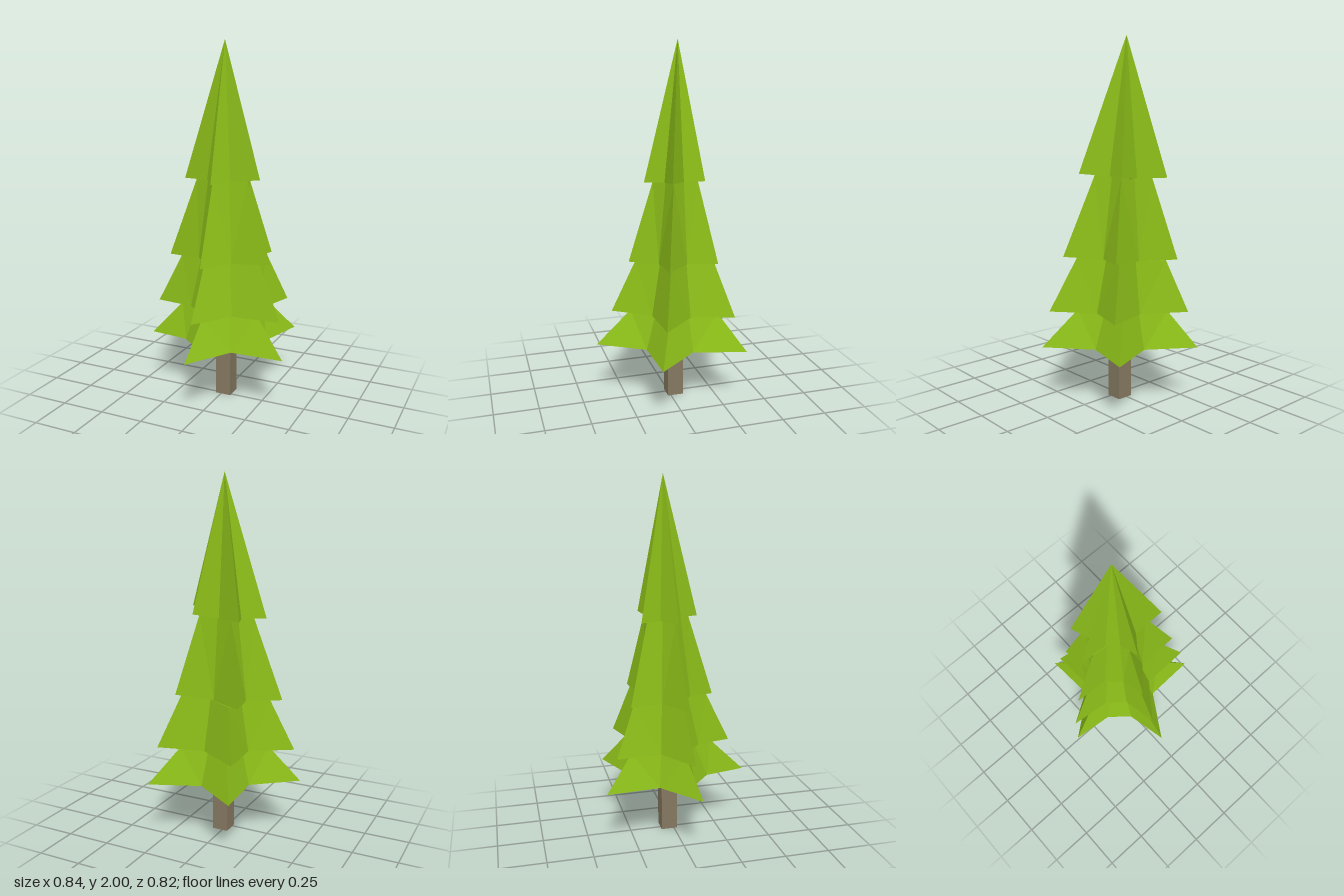
import * as THREE from 'three';

// Axis of the crown, where the tip of the tree sits
const AX = -0.01, AZ = -0.055, TOP = 2;

// Star outlines (x, z) of each tier's rim, clockwise from the back left point.
// tip / notch: how far points and notches shrink towards the axis at the tier's top.
const TIERS = [
  { y: 0.33, tilt: 0, tip: 0.58, notch: 0.71, rim: [
    [-0.21, -0.415], [0.035, -0.25], [0.31, -0.36], [0.23, -0.075], [0.42, 0.15], [0.125, 0.16],
    [-0.03, 0.41], [-0.08, 0.18], [-0.19, 0.085], [-0.42, 0.06], [-0.19, -0.12]] },
  { y: 0.52, tilt: 0.03, tip: 0.64, notch: 0.69, rim: [
    [-0.195, -0.355], [0.035, -0.215], [0.285, -0.295], [0.21, -0.065], [0.39, 0.12], [0.115, 0.125],
    [-0.035, 0.32], [-0.075, 0.13], [-0.175, 0.05], [-0.395, 0.025], [-0.18, -0.11]] },
  { y: 0.8, tilt: 0.09, tip: 0.5, notch: 0.63, rim: [
    [-0.19, -0.275], [0, -0.17], [0.21, -0.22], [0.16, -0.06], [0.32, 0.085], [0.09, 0.08],
    [-0.03, 0.22], [-0.06, 0.085], [-0.14, 0.015], [-0.33, 0], [-0.16, -0.1]] },
  { y: 1.245, tilt: 0.12, tip: 0, notch: 0, rim: [
    [-0.17, -0.21], [-0.015, -0.135], [0.125, -0.17], [0.11, -0.055], [0.24, 0.045], [0.065, 0.04],
    [-0.007, 0.135], [-0.04, 0.035], [-0.1, -0.015], [-0.245, -0.03], [-0.13, -0.1]] },
];
const POINTS = [0, 2, 4, 6, 9]; // indices of the star points in each rim

// Stack of loops from the underside centre to the tree tip
function crownLoops() {
  const loops = [TIERS[0].rim.map(() => [AX, TIERS[0].y, AZ])];
  TIERS.forEach((t, k) => {
    const next = TIERS[k + 1];
    loops.push(t.rim.map(([x, z]) => [x, t.y + t.tilt * Math.max(0, x), z]));
    loops.push(t.rim.map(([x, z], i) => {
      const s = POINTS.includes(i) ? t.tip : t.notch;
      const px = AX + (x - AX) * s, pz = AZ + (z - AZ) * s;
      return [px, next ? next.y + next.tilt * Math.max(0, px) : TOP, pz];
    }));
  });
  return loops;
}

// Skin the loops with flat facets, skipping triangles that collapse at the ends
function skin(loops) {
  const pos = [];
  const same = (p, q) => p.every((v, i) => Math.abs(v - q[i]) < 1e-6);
  const tri = (a, b, c) => {
    if (!same(a, b) && !same(b, c) && !same(a, c)) pos.push(...a, ...b, ...c);
  };
  for (let k = 0; k < loops.length - 1; k++) {
    const lo = loops[k], hi = loops[k + 1], n = lo.length;
    for (let i = 0; i < n; i++) {
      const j = (i + 1) % n;
      if (POINTS.includes(i)) { // diagonals mirror on either side of a star point
        tri(lo[j], lo[i], hi[i]);
        tri(lo[j], hi[i], hi[j]);
      } else {
        tri(lo[j], lo[i], hi[j]);
        tri(lo[i], hi[i], hi[j]);
      }
    }
  }
  const g = new THREE.BufferGeometry();
  g.setAttribute('position', new THREE.Float32BufferAttribute(pos, 3));
  g.computeVertexNormals();
  return g;
}

export function createModel() {
  const model = new THREE.Group();
  model.name = 'pineTree';

  // Foliage: four stacked star-shaped tiers
  const foliage = new THREE.Mesh(
    skin(crownLoops()),
    new THREE.MeshStandardMaterial({ color: 0x8abb18, flatShading: true }));
  foliage.name = 'foliage';

  // Square trunk
  const trunk = new THREE.Mesh(
    new THREE.BoxGeometry(0.09, 0.33, 0.09),
    new THREE.MeshStandardMaterial({ color: 0x857860, flatShading: true }));
  trunk.name = 'trunk';
  trunk.position.set(0.013, 0.165, -0.028);

  model.add(foliage, trunk);
  return model;
}
